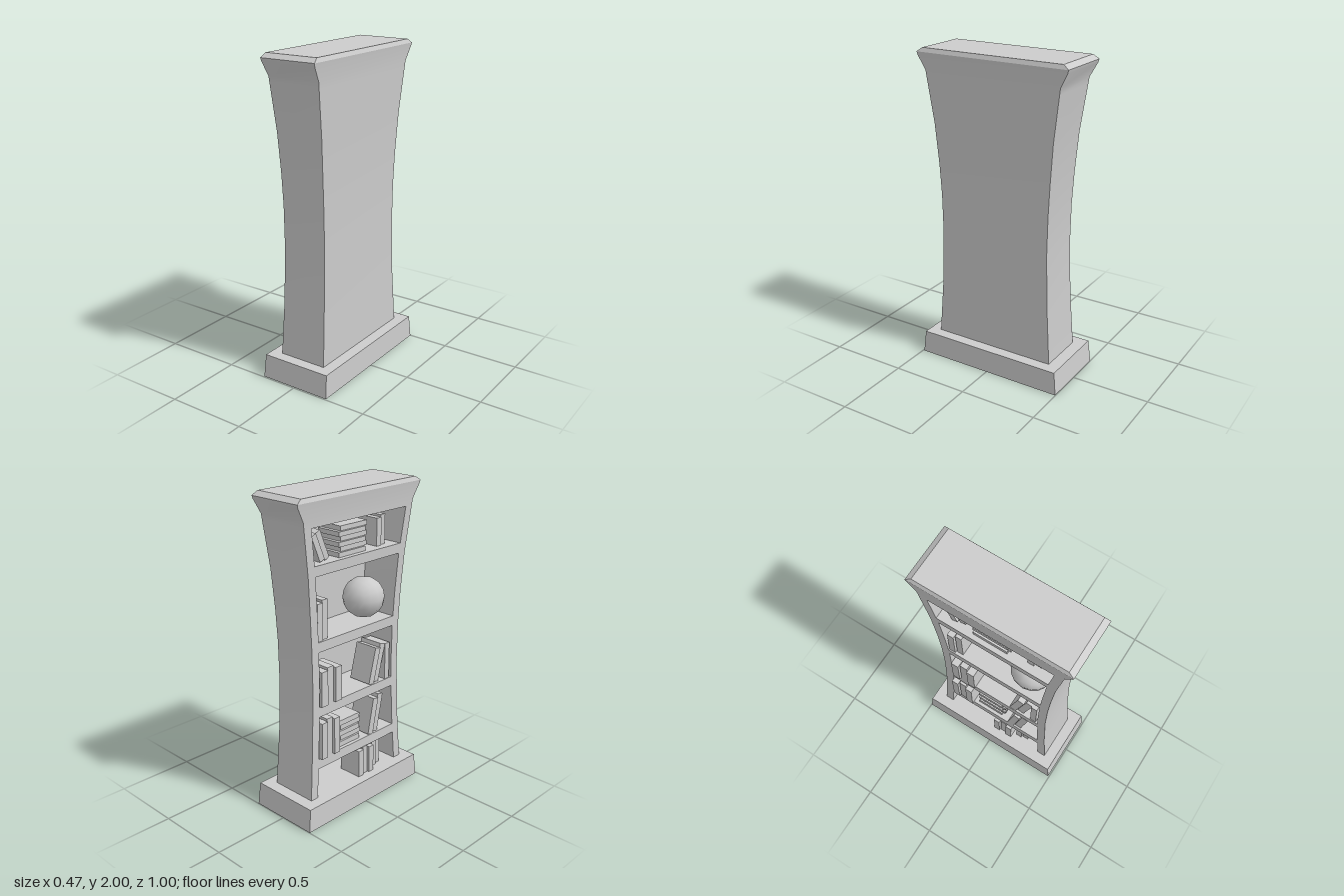
import * as THREE from 'three';
import { toCreasedNormals } from 'three/addons/utils/BufferGeometryUtils.js';

const material = new THREE.MeshStandardMaterial({ color: 0xcccccc });
const WALL = 0.055;   // thickness of the two end walls
const BACK = 0.11;    // inner face of the closed long side

// Flared outline of the case: [y, half width in x, half length in z]
const PROFILE = [
  [0.145, 0.157, 0.407], [0.5, 0.148, 0.383], [0.85, 0.145, 0.371], [1.1, 0.145, 0.375],
  [1.3, 0.148, 0.386], [1.55, 0.156, 0.406], [1.87, 0.171, 0.45],
  [1.955, 0.18, 0.496], [1.975, 0.183, 0.502], [2, 0.172, 0.467],
];
const OPENING_TOP = 1.83;

function outlineAt(y) {
  let i = 0;
  while (PROFILE[i + 1][0] < y) i++;
  const [a, b] = [PROFILE[i], PROFILE[i + 1]];
  const t = (y - a[0]) / (b[0] - a[0]);
  return [y, THREE.MathUtils.lerp(a[1], b[1], t), THREE.MathUtils.lerp(a[2], b[2], t)];
}

// Cross-sections, counter-clockwise from above
const rect = (w, d, w2 = w) => [[-w, -d], [-w, d], [w2, d], [w2, -d]];
const channel = (w, d) => {
  const e = d - WALL;
  return [[-w, -d], [-w, -e], [BACK, -e], [BACK, e], [-w, e], [-w, d], [w, d], [w, -d]];
};

// Joins cross-sections at rising heights and caps both ends
function loft(sections) {
  const pos = [], index = [], n = sections[0].ring.length;
  for (const { y, ring } of sections) for (const [x, z] of ring) pos.push(x, y, z);
  for (let s = 0; s < sections.length - 1; s++) {
    for (let i = 0; i < n; i++) {
      const a = s * n + i, b = s * n + (i + 1) % n;
      index.push(a, b, b + n, a, b + n, a + n);
    }
  }
  const last = (sections.length - 1) * n;
  const flat = sections[0].ring.map(([x, z]) => new THREE.Vector2(x, -z));
  for (const [a, b, c] of THREE.ShapeUtils.triangulateShape(flat, [])) {
    index.push(a, c, b, last + a, last + b, last + c);
  }
  const g = new THREE.BufferGeometry();
  g.setAttribute('position', new THREE.Float32BufferAttribute(pos, 3));
  g.setIndex(index);
  return toCreasedNormals(g, 0.5);
}

export function createModel() {
  const model = new THREE.Group();
  const add = (name, geometry, parent = model) => {
    const mesh = new THREE.Mesh(geometry, material);
    mesh.name = name;
    parent.add(mesh);
    return mesh;
  };

  // Plinth, tapering slightly upwards
  add('plinth', loft([
    { y: 0, ring: rect(0.235, 0.495) }, { y: 0.147, ring: rect(0.228, 0.48) },
  ])).position.z = -0.003;

  // Case, open towards -x, and its solid flared crown
  const rim = outlineAt(OPENING_TOP);
  const lower = [...PROFILE.filter(([y]) => y < OPENING_TOP), rim];
  const upper = [rim, ...PROFILE.filter(([y]) => y > OPENING_TOP)];
  add('caseWalls', loft(lower.map(([y, w, d]) => ({ y, ring: channel(w, d) }))));
  add('crown', loft(upper.map(([y, w, d]) => ({ y, ring: rect(w, d) }))));

  // Shelves follow the curve of the walls
  for (const top of [0.4, 0.74, 1.15, 1.61]) {
    add('shelf', loft([top - 0.062, top].map((height) => {
      const [y, w, d] = outlineAt(height);
      return { y, ring: rect(w, d - WALL + 0.01, BACK + 0.01) };
    })));
  }

  // Rows of books: [shelf height, start z, count, thickness, height, front x, lean towards +z]
  const rows = [
    [0.147, 0.002, 3, 0.041, 0.18, -0.168, 0], [0.147, 0.16, 2, 0.04, 0.175, -0.13, 0],
    [0.4, -0.32, 3, 0.046, 0.238, -0.168, 0], [0.4, 0.1, 2, 0.045, 0.24, -0.152, 0.2],
    [0.74, -0.31, 3, 0.051, 0.223, -0.158, 0], [0.74, 0.11, 2, 0.045, 0.235, -0.145, 0.25],
    [0.74, 0.262, 1, 0.04, 0.24, -0.14, 0], [1.15, -0.32, 2, 0.042, 0.228, -0.138, 0],
    [1.61, -0.28, 2, 0.038, 0.17, -0.12, -0.4], [1.61, 0.2, 2, 0.04, 0.17, -0.11, 0],
  ];
  const library = new THREE.Group();
  library.name = 'books';
  model.add(library);
  const depth = 0.16;
  for (const [y, z, count, t, height, front, lean] of rows) {
    for (let i = 0; i < count; i++) {
      const h = height + 0.012 * (i % 2), x = front + 0.012 * (i % 2);
      const book = add('book', new THREE.BoxGeometry(depth, h, t).translate(0, h / 2, 0), library);
      book.rotation.x = lean;
      book.position.set(
        x + depth / 2,
        y + Math.abs(Math.sin(lean)) * t / 2,
        z + t / 2 + i * (t / Math.cos(lean) + 0.006),
      );
    }
  }

  // Piles of books lying flat: [shelf height, z, count, length, thickness]
  for (const [y, z, count, length, t] of [[0.4, -0.04, 5, 0.18, 0.036], [1.61, -0.02, 6, 0.22, 0.03]]) {
    for (let i = 0; i < count; i++) {
      const shift = i % 2 ? 0.012 : -0.008;
      add('flatBook', new THREE.BoxGeometry(0.17, t * 0.94, length), library)
        .position.set(-0.04 + shift / 2, y + t * (i + 0.5), z + shift);
    }
  }

  // Globe: a subdivided cube pushed out to a sphere
  const globe = new THREE.BoxGeometry(1, 1, 1, 4, 4, 4);
  const p = globe.attributes.position, v = new THREE.Vector3();
  for (let i = 0; i < p.count; i++) {
    v.fromBufferAttribute(p, i).normalize();
    globe.attributes.normal.setXYZ(i, v.x, v.y, v.z);
    p.setXYZ(i, v.x * 0.13, v.y * 0.13, v.z * 0.13);
  }
  add('globe', globe).position.set(-0.018, 1.278, 0.19);

  return model;
}
